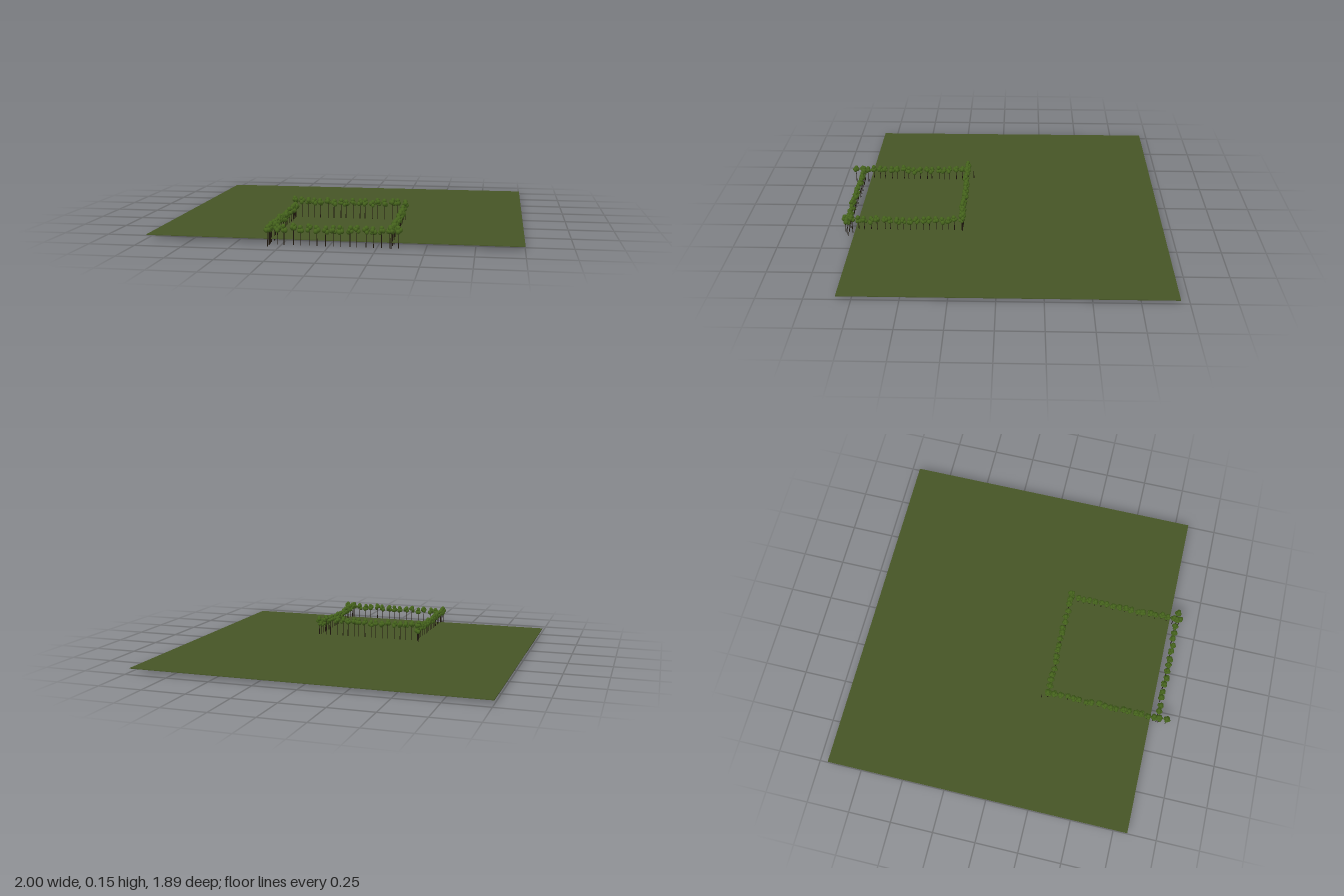
import * as THREE from 'three';
import { mergeGeometries } from 'three/addons/utils/BufferGeometryUtils.js';

const mat = (name, color) => new THREE.MeshStandardMaterial({ name, color });

// Small seeded random generator
function seeded(seed) {
  let s = seed;
  return () => {
    s = (s * 16807) % 2147483647;
    return s / 2147483647;
  };
}

export function createModel() {
  const model = new THREE.Group();
  model.name = 'treeLinedField';
  const grass = mat('grass green', 0x465526);
  const leaf = mat('leaf green', 0x45631c);
  const bark = mat('dark bark', 0x20180e);
  const rand = seeded(4217);
  const jitter = (a) => (rand() - 0.5) * 2 * a;

  // Flat field
  const field = new THREE.Mesh(new THREE.BoxGeometry(2, 0.004, 1.78), grass);
  field.name = 'field';
  field.position.set(0, 0.022, -0.06);
  model.add(field);

  // One tree: a thin trunk and a crown of rounded leaf clumps
  function addTree(x, z, base, crownY, trunks, clumps) {
    const h = crownY - base;
    const trunk = new THREE.CylinderGeometry(0.0014, 0.0024, h, 6);
    trunk.translate(x, base + h / 2, z);
    trunks.push(trunk);
    const turn = rand() * Math.PI * 2;
    for (let i = 0; i < 5; i++) {
      const top = i === 4;
      const a = turn + (i * Math.PI) / 2;
      const r = top ? 0.0125 : 0.0115 + jitter(0.002);
      const off = top ? 0.003 : 0.009;
      const clump = new THREE.IcosahedronGeometry(r, 1);
      clump.scale(1, 1.1, 1);
      clump.translate(
        x + Math.cos(a) * off,
        crownY + (top ? 0.015 : jitter(0.008)),
        z + Math.sin(a) * off
      );
      clumps.push(clump);
    }
  }

  // Rows: ends on the ground, number of trees, trunk foot and crown height
  const rows = [
    { name: 'frontRow', from: [-0.315, 0.87], to: [0.36, 0.87], count: 17, base: 0, crown: 0.082 },
    { name: 'backRow', from: [-0.315, 0.21], to: [0.325, 0.21], count: 18, base: 0.024, crown: 0.112 },
    { name: 'rightRow', from: [-0.315, 0.92], to: [-0.31, 0.215], count: 20, base: 0, crown: 0.082 },
    { name: 'leftRow', from: [0.325, 0.885], to: [0.318, 0.215], count: 19, base: 0, crown: 0.08 },
  ];
  for (const row of rows) {
    const group = new THREE.Group();
    group.name = row.name;
    const trunks = [], clumps = [];
    for (let i = 0; i < row.count; i++) {
      const t = i / (row.count - 1);
      const x = THREE.MathUtils.lerp(row.from[0], row.to[0], t);
      const z = THREE.MathUtils.lerp(row.from[1], row.to[1], t);
      // crowns dip slightly toward the middle of the row
      const y = row.crown + 0.006 * Math.abs(2 * t - 1) + jitter(0.006);
      addTree(x + jitter(0.005), z + jitter(0.005), row.base, y, trunks, clumps);
    }
    const wood = new THREE.Mesh(mergeGeometries(trunks), bark);
    wood.name = 'trunks';
    const crowns = new THREE.Mesh(mergeGeometries(clumps), leaf);
    crowns.name = 'crowns';
    group.add(wood, crowns);
    model.add(group);
  }

  // Bare stem beyond the back corner
  const stem = new THREE.Mesh(new THREE.CylinderGeometry(0.0014, 0.0024, 0.075, 6), bark);
  stem.name = 'bareStem';
  stem.position.set(-0.33, 0.0375, 0.175);
  model.add(stem);

  return model;
}
